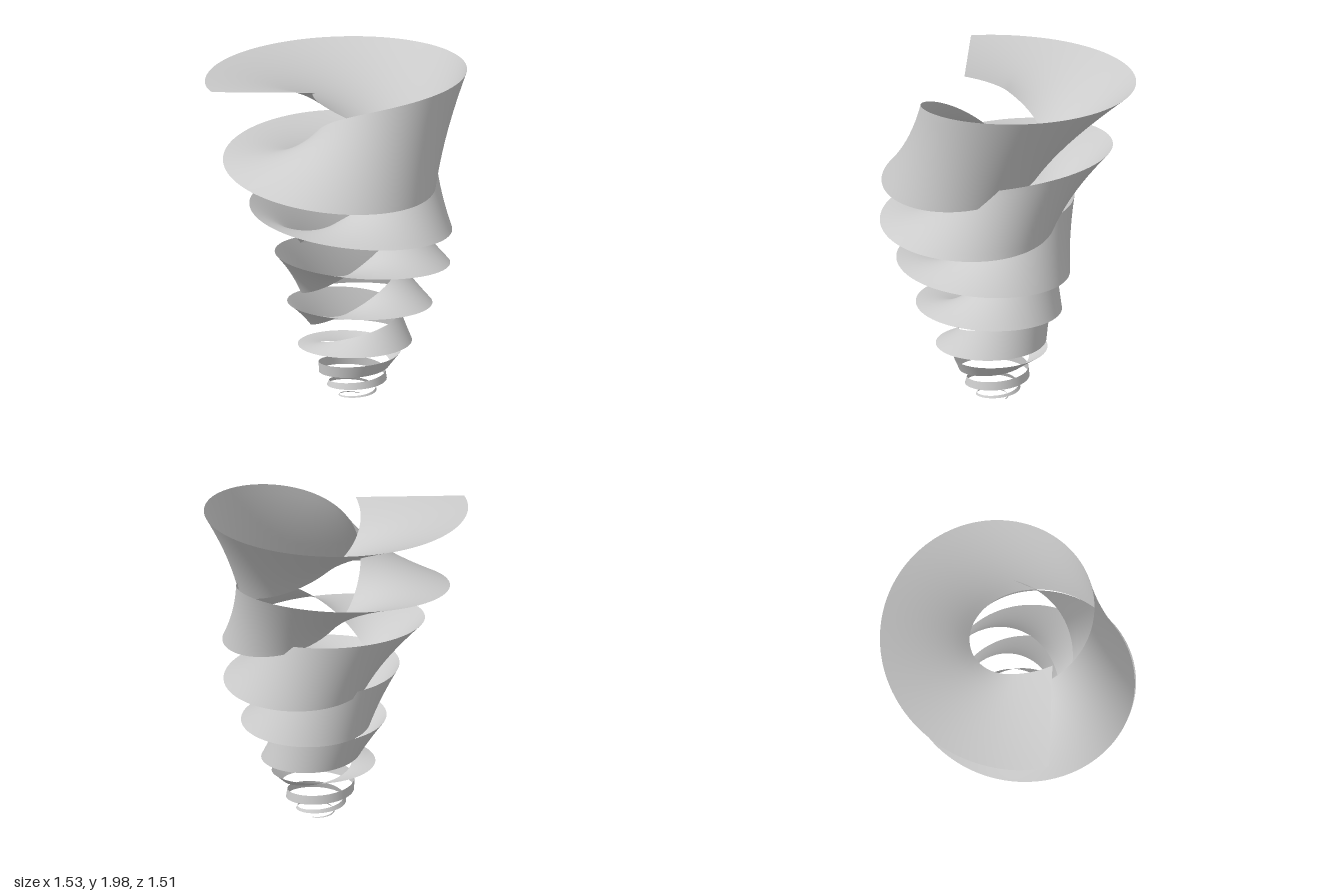
import * as THREE from 'three';

// Section values at every half turn, from the top down (first entry lies just past the top end)
const radius = [0.60, 0.565, 0.555, 0.51, 0.51, 0.46, 0.425, 0.385, 0.355, 0.325, 0.30, 0.265, 0.24, 0.21, 0.185, 0.155, 0.125, 0.09, 0.06];
const height = [2.18, 1.915, 1.68, 1.515, 1.275, 1.10, 0.98, 0.79, 0.70, 0.535, 0.45, 0.345, 0.26, 0.203, 0.15, 0.105, 0.06, 0.03, 0.01];
const width = [0.63, 0.64, 0.63, 0.535, 0.41, 0.41, 0.376, 0.32, 0.285, 0.21, 0.18, 0.135, 0.095, 0.06, 0.05, 0.03, 0.015, 0.008, 0.004];
const twist = [-20, 9, 76, 175, 290, 406, 500, 605, 679, 773, 837, 900, 950, 990, 1000, 1015, 1020, 1025, 1030];

// Smooth interpolation through a list; h counts half turns from the first full section
function sample(list, h) {
  const f = h + 1, i = Math.floor(f), t = f - i;
  const at = k => list[Math.min(Math.max(k, 0), list.length - 1)];
  const a = at(i - 1), b = at(i), c = at(i + 1), d = at(i + 2);
  return b + 0.5 * t * (c - a + t * (2 * a - 5 * b + 4 * c - d + t * (3 * (b - c) + d - a)));
}

// Straight cross-section turning about the path while it winds round the axis
function ribbonPoint(h, v) {
  const angle = Math.PI * h;
  const phi = THREE.MathUtils.degToRad(sample(twist, h));
  const r = sample(radius, h);
  const s = v * sample(width, h);
  // the free top end straightens out slightly
  const skew = h < 0 ? 0.35 * Math.min(1, -h / 0.17) ** 1.5 : 0;
  const out = s * Math.cos(phi);
  return [
    0.12 - r * Math.cos(angle) - out * Math.cos(angle + skew),
    sample(height, h) + s * Math.sin(phi),
    0.06 - r * Math.sin(angle) - out * Math.sin(angle + skew),
  ];
}

export function createModel() {
  const rows = 1200, cols = 10, start = -0.17, end = 16.6;
  const positions = [], indices = [];
  for (let i = 0; i <= rows; i++) {
    const h = start + (end - start) * i / rows;
    for (let j = 0; j <= cols; j++) {
      positions.push(...ribbonPoint(h, j / cols - 0.5));
      if (i < rows && j < cols) {
        const a = i * (cols + 1) + j, b = a + cols + 1;
        indices.push(a, b, a + 1, b, b + 1, a + 1);
      }
    }
  }
  const geometry = new THREE.BufferGeometry();
  geometry.setAttribute('position', new THREE.Float32BufferAttribute(positions, 3));
  geometry.setIndex(indices);
  geometry.computeVertexNormals();

  const ribbon = new THREE.Mesh(
    geometry,
    new THREE.MeshStandardMaterial({ color: 0xcccccc, side: THREE.DoubleSide })
  );
  ribbon.name = 'twistedSpiralRibbon';
  const group = new THREE.Group();
  group.name = 'spiral';
  group.add(ribbon);
  return group;
}
